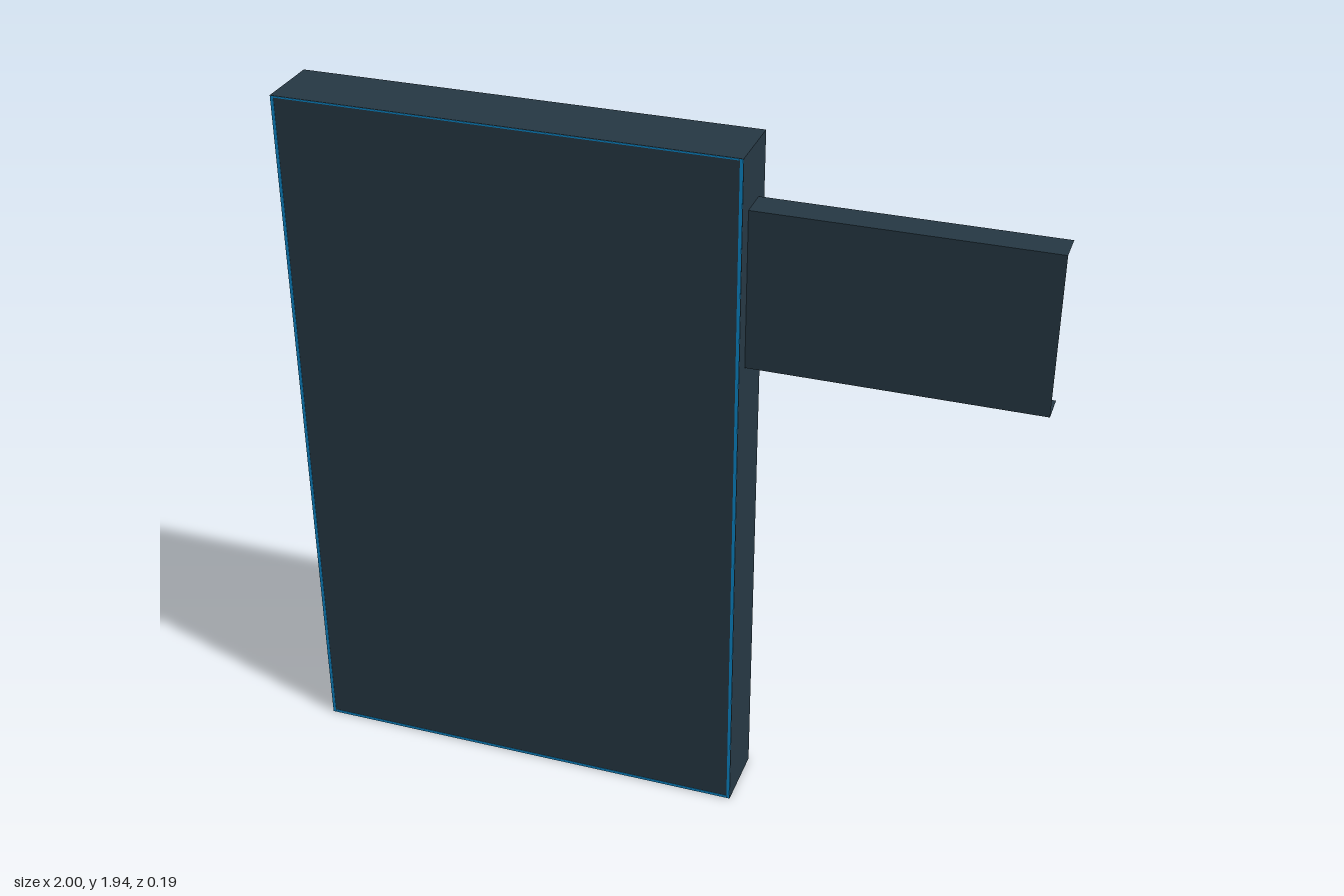
import * as THREE from 'three';

export function createModel() {
  const model = new THREE.Group();
  const slate = new THREE.MeshStandardMaterial({ color: 0x263844, side: THREE.DoubleSide });
  slate.name = 'dark slate';
  const blue = new THREE.MeshStandardMaterial({ color: 0x0a86c8 });
  blue.name = 'edge blue';

  // Thin sheet: size and centre, turned about x or y
  function sheet(parent, name, w, h, x, y, z, rx = 0, ry = 0) {
    const mesh = new THREE.Mesh(new THREE.PlaneGeometry(w, h), slate);
    mesh.name = name;
    mesh.position.set(x, y, z);
    mesh.rotation.set(rx, ry, 0);
    parent.add(mesh);
  }

  const quarter = Math.PI / 2;
  const x0 = -1, x1 = 0.235, height = 1.944, depth = 0.186;
  const width = x1 - x0, cx = (x0 + x1) / 2, cy = height / 2, front = depth / 2;

  // Shallow tray, open at the back
  const tray = new THREE.Group();
  tray.name = 'panelTray';
  sheet(tray, 'frontPanel', width, height, cx, cy, front);
  sheet(tray, 'rightWall', depth, height, x0, cy, 0, 0, -quarter);
  sheet(tray, 'leftWall', depth, height, x1, cy, 0, 0, quarter);
  sheet(tray, 'topWall', width, depth, cx, height, 0, -quarter);
  sheet(tray, 'bottomWall', width, depth, cx, 0, 0, quarter);
  model.add(tray);

  // Fine blue trim along the front edges
  const trim = new THREE.Group();
  trim.name = 'edgeTrim';
  const t = 0.008;
  function bar(name, w, h, x, y) {
    const mesh = new THREE.Mesh(new THREE.BoxGeometry(w, h, t), blue);
    mesh.name = name;
    mesh.position.set(x, y, front - t / 2 + 0.001);
    trim.add(mesh);
  }
  bar('rightTrim', t, height - 0.002, x0 + t / 2 + 0.001, cy);
  bar('leftTrim', t, height - 0.002, x1 - t / 2 - 0.001, cy);
  bar('topTrim', width - 0.02, t / 2, cx, height - t / 4 - 0.001);
  bar('bottomTrim', width - 0.02, t, cx, t / 2 + 0.001);
  model.add(trim);

  // Channel arm passing through the left wall, flanges pointing back
  const arm = new THREE.Group();
  arm.name = 'channelArm';
  const a0 = 0.085, a1 = 1, low = 1.361, high = 1.791, armDepth = 0.086;
  const aw = a1 - a0, ax = (a0 + a1) / 2;
  sheet(arm, 'armWeb', aw, high - low, ax, (low + high) / 2, armDepth / 2);
  sheet(arm, 'armTopFlange', aw, armDepth, ax, high, 0, -quarter);
  sheet(arm, 'armBottomFlange', aw, armDepth, ax, low, 0, quarter);
  model.add(arm);

  return model;
}
